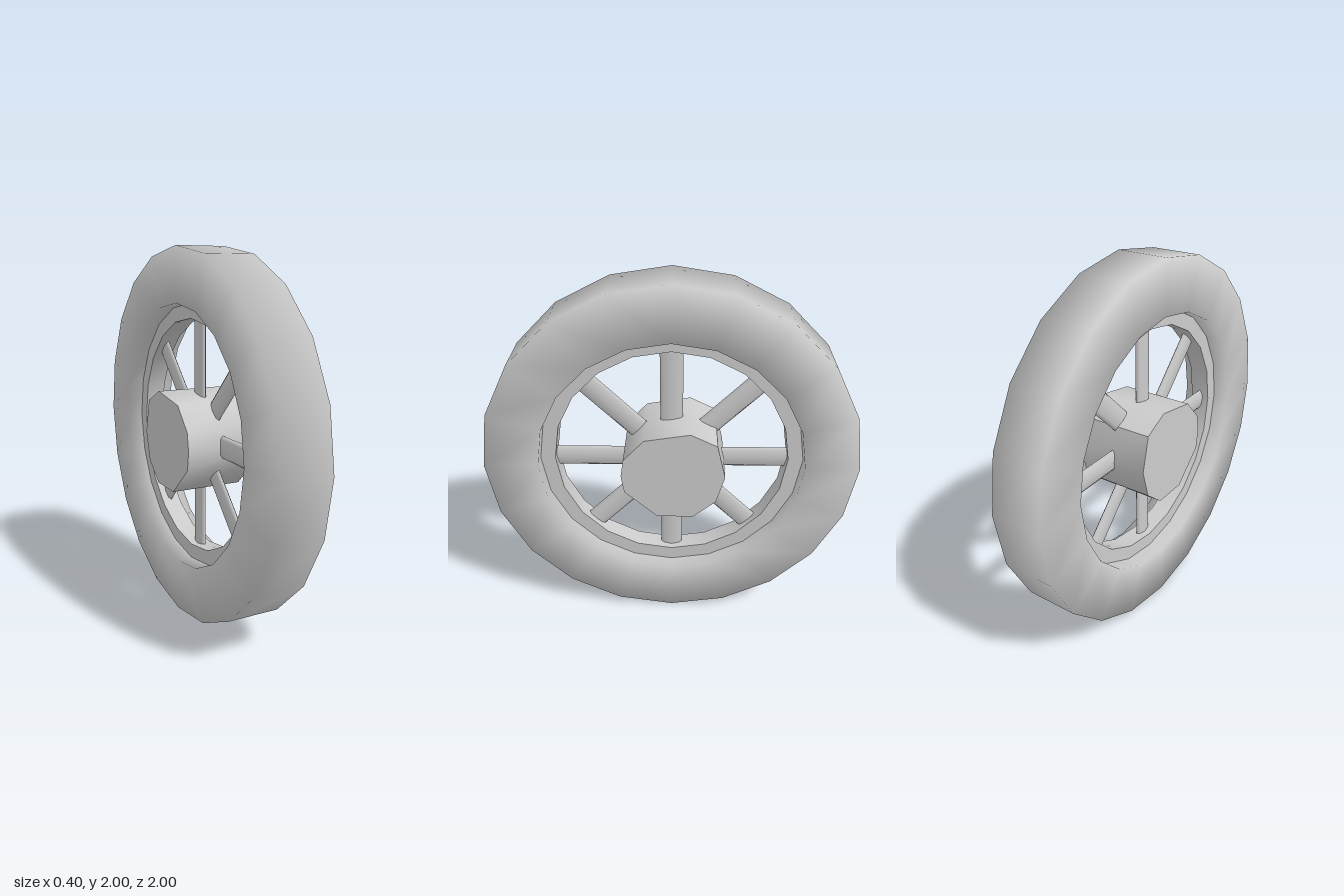
import * as THREE from 'three';
import { toCreasedNormals } from 'three/addons/utils/BufferGeometryUtils.js';

const grey = new THREE.MeshStandardMaterial({ color: 0xcccccc });
const SEGMENTS = 20;

function part(name, geometry) {
  const mesh = new THREE.Mesh(geometry, grey);
  mesh.name = name;
  return mesh;
}

// Ring with a square section, turning about the x axis; the seam sits mid-way on its inner face
function ring(inner, outer, halfWidth) {
  const profile = [
    [inner, 0], [inner, -halfWidth], [outer, -halfWidth],
    [outer, halfWidth], [inner, halfWidth], [inner, 0],
  ].map(([r, a]) => new THREE.Vector2(r, a));
  return new THREE.LatheGeometry(profile, SEGMENTS).rotateZ(Math.PI / 2).translate(0, 1, 0);
}

// Roughly hewn hub: an uneven polygon (z, y) pushed along x
function hubGeometry() {
  const outline = [
    [-0.1, 1.24], [-0.24, 1.17], [-0.285, 0.98], [-0.24, 0.82], [-0.12, 0.72],
    [0.075, 0.72], [0.25, 0.88], [0.265, 0.98], [0.25, 1.08], [0.14, 1.2],
  ].map(([z, y]) => new THREE.Vector2(-z, y));
  const geometry = new THREE.ExtrudeGeometry(new THREE.Shape(outline), { depth: 0.4, bevelEnabled: false });
  geometry.translate(0, 0, -0.2).rotateY(Math.PI / 2);
  return toCreasedNormals(geometry, 0.8);
}

export function createModel() {
  const wheel = new THREE.Group();
  wheel.name = 'wheel';

  // Tyre is shaded smooth across its corners; the rim is recessed and crisp
  wheel.add(part('tyre', ring(0.71, 1, 0.14)));
  wheel.add(part('rim', toCreasedNormals(ring(0.63, 0.73, 0.055), 0.6)));
  wheel.add(part('hub', hubGeometry()));

  // Eight flattened spokes from hub to rim
  const spokeGeometry = new THREE.CylinderGeometry(0.06, 0.06, 0.5, 8);
  spokeGeometry.scale(0.3, 1, 1).translate(0, 0.4, 0);
  const spokes = new THREE.Group();
  spokes.name = 'spokes';
  spokes.position.y = 0.985;
  for (let i = 0; i < 8; i++) {
    const spoke = part('spoke', spokeGeometry);
    spoke.rotation.x = (i * Math.PI) / 4;
    spokes.add(spoke);
  }
  wheel.add(spokes);

  return wheel;
}
